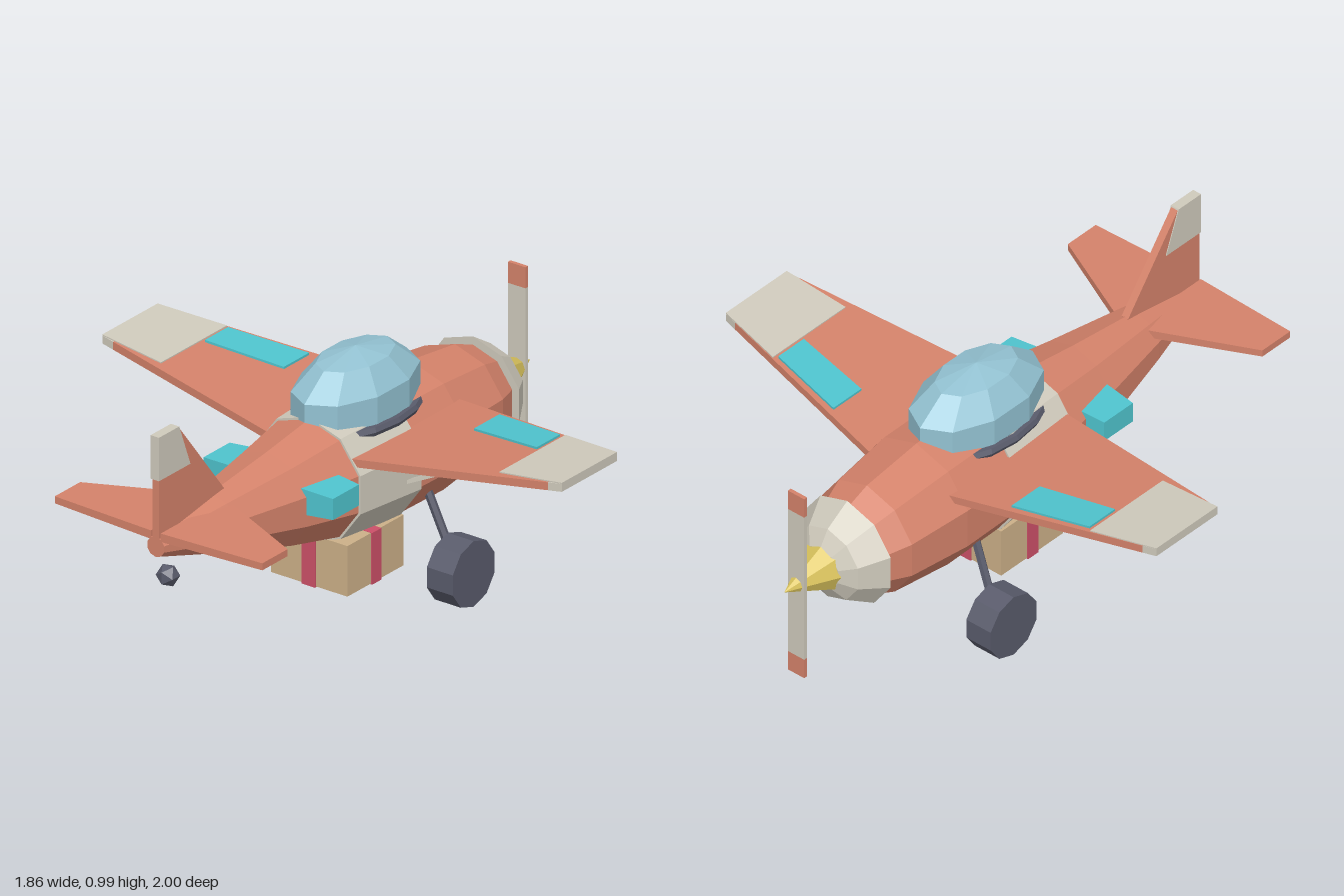
import * as THREE from 'three';

const paint = (name, color) => {
  const m = new THREE.MeshStandardMaterial({ color, flatShading: true });
  m.name = name;
  return m;
};

// Closed solid through rings of points; the winding is set from its signed volume
function loft(rings) {
  const tris = [], n = rings[0].length, last = rings[rings.length - 1];
  for (let r = 0; r < rings.length - 1; r++) {
    for (let i = 0; i < n; i++) {
      const j = (i + 1) % n, a = rings[r], b = rings[r + 1];
      tris.push([a[i], a[j], b[j]], [a[i], b[j], b[i]]);
    }
  }
  for (let i = 1; i < n - 1; i++) {
    tris.push([rings[0][0], rings[0][i + 1], rings[0][i]], [last[0], last[i], last[i + 1]]);
  }
  const V = (p) => new THREE.Vector3(...p), o = V(rings[0][0]);
  let volume = 0;
  for (const [a, b, c] of tris) volume += V(a).sub(o).dot(V(b).sub(o).cross(V(c).sub(o)));
  const pos = tris.flatMap(([a, b, c]) => (volume < 0 ? [a, c, b] : [a, b, c]).flat());
  const g = new THREE.BufferGeometry();
  g.setAttribute('position', new THREE.Float32BufferAttribute(pos, 3));
  g.computeVertexNormals();
  return g;
}

// Ten-sided fuselage ring with corners at top and bottom
const ring = ([z, cy, r]) => Array.from({ length: 10 }, (_, i) => {
  const a = (i + 0.5) * Math.PI / 5;
  return [r * Math.cos(a), cy + r * Math.sin(a), z];
});

// Rectangular wing section at x: bottom, top, leading and trailing edge
const rib = (x, y0, y1, z0, z1) => [[x, y0, z0], [x, y1, z0], [x, y1, z1], [x, y0, z1]];

export function createModel() {
  const model = new THREE.Group();
  const red = paint('coral', 0xd4826a), cream = paint('cream', 0xcfcabc);
  const cyan = paint('cyan', 0x4fc4ce), glass = paint('canopy blue', 0x93c2d2);
  const gold = paint('gold', 0xd8c25c), slate = paint('slate', 0x595b6b);
  const tan = paint('tan', 0xccb088), pink = paint('pink', 0xcc5068);

  const add = (name, geo, mat, x = 0, y = 0, z = 0) => {
    const m = new THREE.Mesh(geo, mat);
    m.name = name;
    m.position.set(x, y, z);
    model.add(m);
    return m;
  };
  const box = (name, mat, w, h, d, x, y, z) => add(name, new THREE.BoxGeometry(w, h, d), mat, x, y, z);
  const bar = (name, geo, mat, from, to) => {
    const a = new THREE.Vector3(...from), b = new THREE.Vector3(...to);
    const m = add(name, geo(a.distanceTo(b)), mat);
    m.position.copy(a).lerp(b, 0.5);
    m.quaternion.setFromUnitVectors(new THREE.Vector3(0, 1, 0), b.sub(a).normalize());
  };

  // Fuselage, nose at -z
  add('fuselage', loft([
    [-0.74, 0.51, 0.15], [-0.6, 0.51, 0.205], [-0.36, 0.514, 0.233], [-0.12, 0.517, 0.232],
    [0.18, 0.527, 0.212], [0.4, 0.537, 0.17], [0.7, 0.564, 0.108], [0.995, 0.59, 0.036],
  ].map(ring)), red);
  add('fuselageBand', loft([[-0.12, 0.517, 0.24], [0.18, 0.527, 0.22]].map(ring)), cream);

  // Cowl, spinner and propeller
  add('cowl', loft([
    [-0.695, 0.51, 0.197], [-0.79, 0.51, 0.137], [-0.825, 0.51, 0.08],
  ].map(ring)), cream);
  add('spinner', new THREE.ConeGeometry(0.085, 0.18, 8), gold, 0, 0.51, -0.91).rotation.x = -Math.PI / 2;
  box('propeller', cream, 0.07, 0.58, 0.014, 0, 0.51, -0.936);
  for (const s of [-1, 1]) box('propellerTip', red, 0.07, 0.075, 0.014, 0, 0.51 + s * 0.3275, -0.936);

  // Faceted canopy with a rim half sunk in the fuselage
  const dome = add('canopy', new THREE.SphereGeometry(1, 10, 5).rotateY(Math.PI / 2), glass, 0, 0.75, -0.07);
  dome.scale.set(0.17, 0.16, 0.287);
  const rim = new THREE.TorusGeometry(1, 0.09, 6, 16).rotateX(Math.PI / 2);
  rim.scale(0.168, 0.2, 0.27);
  add('canopyRim', rim, slate, 0, 0.688, -0.07);

  for (const s of [-1, 1]) {
    // Wing with painted tip and panel
    const lead = (x) => -0.39 + (x - 0.2) * 0.205, trail = (x) => 0.172 - (x - 0.2) * 0.16;
    const top = (x) => 0.648 + (x - 0.2) * 0.107;
    const slice = (x) => rib(s * x, top(x) - 0.028, top(x), lead(x), trail(x));
    const plate = (x, z0, z1, h = 0.008) => rib(s * x, top(x) - 0.002, top(x) + h, z0, z1);
    add('wing', loft([slice(0.15), slice(0.88)]), red);
    add('wingTipEnd', loft([slice(0.88), slice(0.93)]), cream);
    add('wingTipPaint', loft([plate(0.685, -0.287, 0.065, 0.004), plate(0.93, -0.24, 0.055, 0.004)]), cream);
    add('wingPanel', loft([plate(0.385, -0.33, -0.195), plate(0.672, -0.275, -0.152)]), cyan);
    bar('wingStrut', (l) => new THREE.BoxGeometry(0.012, l, 0.03), cream,
      [s * 0.22, 0.49, -0.065], [s * 0.58, 0.665, -0.1]);

    // Tailplane
    add('tailplane', loft([rib(s * 0.02, 0.613, 0.643, 0.655, 0.995), rib(s * 0.42, 0.62, 0.645, 0.845, 0.98)]), red);

    // Side pod, narrowing outward
    add('sidePod', loft([rib(s * 0.13, 0.525, 0.618, 0.243, 0.407), rib(s * 0.262, 0.535, 0.61, 0.256, 0.395)]), cyan);

    // Main wheel and leg
    const tyre = new THREE.CylinderGeometry(0.117, 0.117, 0.105, 10).rotateZ(Math.PI / 2).rotateX(Math.PI / 10);
    tyre.computeBoundingBox();
    add('mainWheel', tyre, slate, s * 0.28, -tyre.boundingBox.min.y, -0.262);
    bar('wheelLeg', (l) => new THREE.CylinderGeometry(0.015, 0.015, l, 6), slate,
      [s * 0.155, 0.375, -0.248], [s * 0.245, 0.16, -0.262]);
  }

  // Fin with painted top, outlines given as [z, y]
  const upright = (name, mat, half, outline) =>
    add(name, loft([-half, half].map((x) => outline.map(([z, y]) => [x, y, z]))), mat);
  upright('fin', red, 0.014, [[0.995, 0.6], [0.995, 0.98], [0.89, 0.98], [0.65, 0.675], [0.68, 0.6]]);
  upright('finPaint', cream, 0.017, [[1, 0.83], [1, 0.985], [0.892, 0.985], [0.832, 0.83]]);

  // Tail wheel
  add('tailWheel', new THREE.IcosahedronGeometry(0.04, 0), slate, 0, 0.465, 0.93);

  // Parcel with crossed ribbons
  box('parcel', tan, 0.31, 0.18, 0.3, 0, 0.24, 0.027);
  box('ribbonLengthwise', pink, 0.054, 0.184, 0.31, 0, 0.239, 0.027);
  box('ribbonCrosswise', pink, 0.32, 0.184, 0.05, 0, 0.239, 0.027);

  return model;
}
